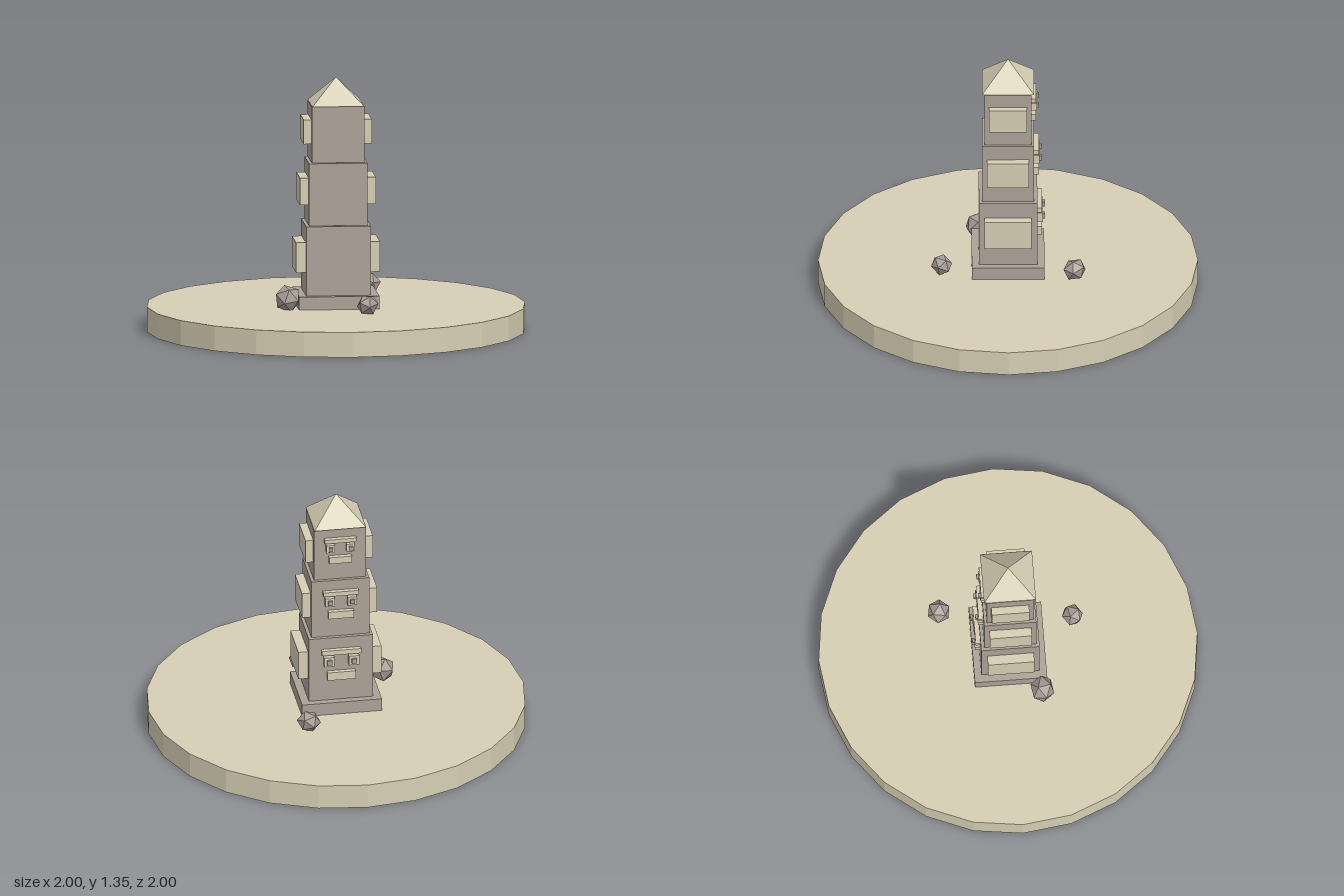
import * as THREE from 'three';

const mat = (name, color) => {
  const m = new THREE.MeshStandardMaterial({ color });
  m.name = name;
  return m;
};

export function createModel() {
  const sand = mat('sand', 0xd6ceb4);
  const stone = mat('stone', 0xaca397);
  const rockGrey = mat('rock grey', 0xa59c94);

  const model = new THREE.Group();
  model.name = 'totemMonument';

  const add = (parent, name, geometry, material, x, y, z) => {
    const mesh = new THREE.Mesh(geometry, material);
    mesh.name = name;
    mesh.position.set(x, y, z);
    parent.add(mesh);
    return mesh;
  };
  const box = (parent, name, w, h, d, material, x, y, z) =>
    add(parent, name, new THREE.BoxGeometry(w, h, d), material, x, y, z);
  const flat = (geometry) => {
    const g = geometry.index ? geometry.toNonIndexed() : geometry;
    g.computeVertexNormals();
    return g;
  };

  // Ground disc and plinth
  add(model, 'groundDisc', flat(new THREE.CylinderGeometry(1, 1, 0.133, 24)), sand, 0, 0.0665, 0);
  box(model, 'plinth', 0.426, 0.07, 0.382, stone, 0, 0.167, 0);

  // Stacked heads, each smaller than the one below; faces look to the back (-z)
  const heads = [
    { y: 0.202, s: 1, w: 0.342, d: 0.308 },
    { y: 0.572, s: 0.9, w: 0.309, d: 0.275 },
    { y: 0.905, s: 0.81, w: 0.277, d: 0.246 },
  ];
  heads.forEach(({ y, s, w, d }, i) => {
    const head = new THREE.Group();
    head.name = `head${i + 1}`;
    head.position.y = y;
    model.add(head);

    box(head, 'headBlock', w, 0.368 * s, d, stone, 0, 0.184 * s, 0);
    const face = -d / 2;
    box(head, 'brow', 0.21 * s, 0.027 * s, 0.03, sand, 0, 0.29 * s, face - 0.01);
    box(head, 'mouth', 0.15 * s, 0.046 * s, 0.03, sand, 0, 0.15 * s, face - 0.01);
    for (const side of [-1, 1]) {
      box(head, 'ear', 0.055 * s, 0.16 * s, 0.246 * s, sand, side * (w / 2 + 0.0235 * s), 0.2 * s, 0);
      box(head, 'eye', 0.055 * s, 0.054 * s, 0.034, sand, side * 0.066 * s, 0.238 * s, face - 0.012);
      box(head, 'pupil', 0.027 * s, 0.027 * s, 0.02, stone, side * 0.066 * s, 0.238 * s, face - 0.03);
    }
  });

  // Pyramid roof
  const roof = new THREE.ConeGeometry(0.137 * Math.SQRT2, 0.14, 4);
  roof.rotateY(Math.PI / 4);
  add(model, 'roof', flat(roof), sand, 0, 1.275, 0);

  // Loose rocks
  const rocks = [
    [0.205, 0.19, -0.35, 0.064, 0.5],
    [-0.27, 0.192, 0.16, 0.073, 1.2],
    [0.135, 0.18, 0.35, 0.06, 2.1],
  ];
  for (const [x, y, z, r, turn] of rocks) {
    const rock = add(model, 'rock', flat(new THREE.IcosahedronGeometry(r, 0)), rockGrey, x, y, z);
    rock.rotation.set(turn * 0.7, turn, turn * 0.4);
    rock.scale.y = 0.9;
  }
  return model;
}
